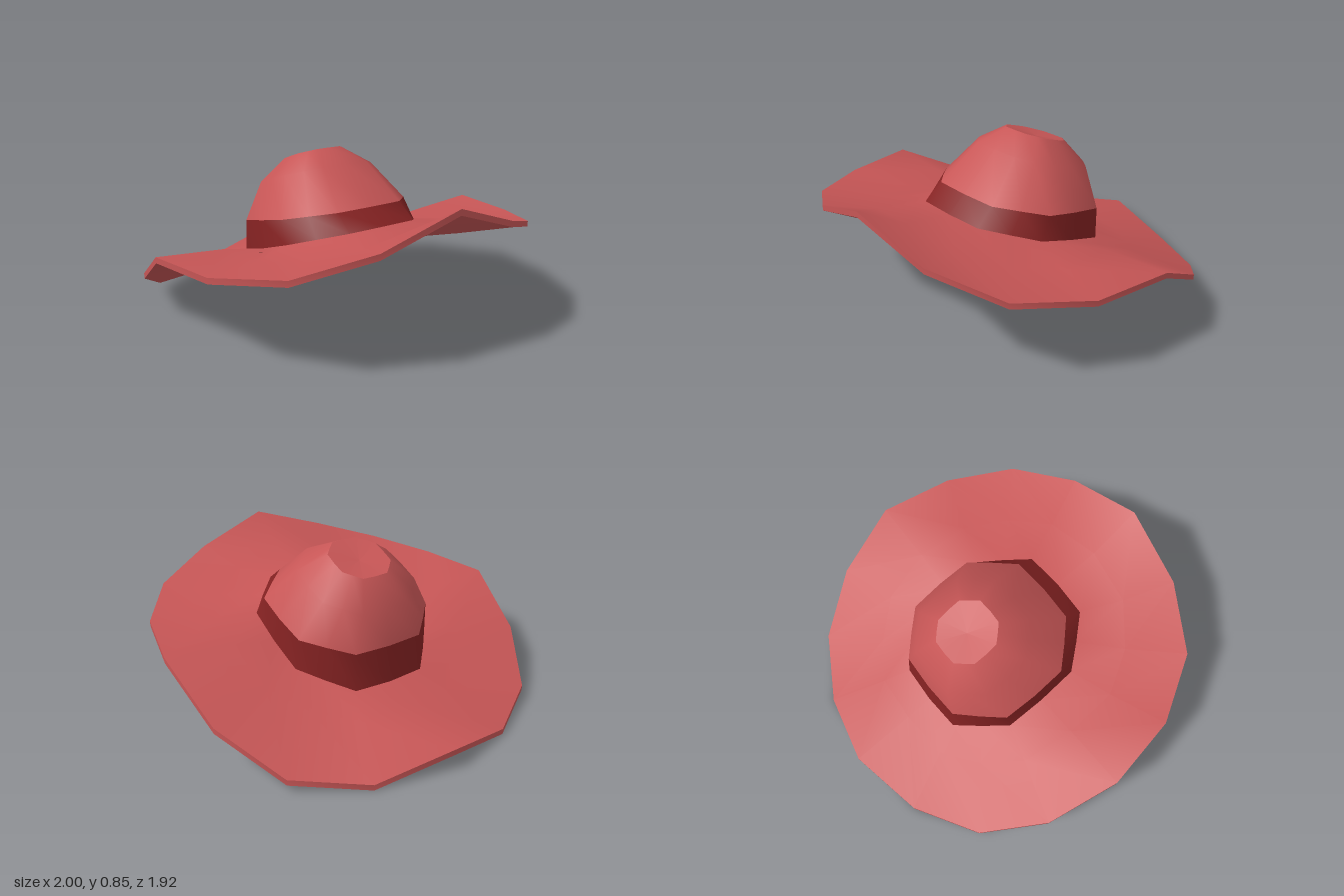
import * as THREE from 'three';

const THICK = 0.03;

// Mirror a half ring (front to back along +x) into a full 16-point ring
function fullRing(half) {
  const ring = half.map(p => new THREE.Vector3(...p));
  for (let i = half.length - 2; i > 0; i--) {
    const [x, y, z] = half[i];
    ring.push(new THREE.Vector3(-x, y, z));
  }
  return ring;
}

// Rounded octagon ring, tilted so that y rises towards the front
const HALF = [[0, 1], [0.48, 0.975], [0.74, 0.72], [0.98, 0.46], [1, 0],
  [0.98, -0.46], [0.74, -0.72], [0.48, -0.975], [0, -1]];
function crownRing(halfWidth, halfDepth, centreZ, centreY, rise) {
  return fullRing(HALF.map(([u, v]) =>
    [u * halfWidth, centreY + v * rise, centreZ + v * halfDepth]));
}

const lowered = (ring, d) => ring.map(p => new THREE.Vector3(p.x, p.y - d, p.z));
const inset = ring => ring.map(p => new THREE.Vector3(p.x * 0.98, p.y - 0.008, p.z * 0.98));

// Skin a list of rings
function loft(name, rings, material) {
  const n = rings[0].length;
  const index = [];
  for (let i = 0; i < rings.length - 1; i++) {
    for (let j = 0; j < n; j++) {
      const k = (j + 1) % n;
      const a = i * n + j, b = i * n + k, c = a + n, d = b + n;
      index.push(a, b, c, b, d, c);
    }
  }
  const geometry = new THREE.BufferGeometry().setFromPoints(rings.flat());
  geometry.setIndex(index);
  geometry.computeVertexNormals();
  const mesh = new THREE.Mesh(geometry, material);
  mesh.name = name;
  return mesh;
}

export function createModel() {
  const red = new THREE.MeshStandardMaterial({ color: 0xc75656 });
  red.name = 'soft red';
  const darkRed = new THREE.MeshStandardMaterial({ color: 0x842222 });
  darkRed.name = 'dark red';

  // Wavy brim edge: high at the front, drooping at the back
  const outerHalf = [[0, 0.74, 0.96], [0.4, 0.605, 0.91], [0.73, 0.505, 0.73],
    [0.93, 0.458, 0.4], [1, 0.45, 0], [0.93, 0.24, -0.37], [0.73, 0.07, -0.68],
    [0.395, 0.03, -0.88], [0, 0.112, -0.96]];
  const outer = fullRing(outerHalf);
  const inner = crownRing(0.42, 0.45, -0.005, 0.378, 0.155);

  // Middle of the brim, lying closer to the crown towards the back
  const midY = [0.58, 0.53, 0.47, 0.43, 0.42, 0.29, 0.195, 0.155, 0.18];
  const mid = fullRing(midY.map((y, i) => {
    const t = 0.5 - 0.025 * i;
    return [THREE.MathUtils.lerp(inner[i].x, outer[i].x, t), y,
      THREE.MathUtils.lerp(inner[i].z, outer[i].z, t)];
  }));

  // Crown rings from the band up to the top rim
  const bandTop = crownRing(0.405, 0.39, -0.048, 0.515, 0.095);
  const shoulder = crownRing(0.285, 0.27, -0.14, 0.7, 0.09);
  const topRim = crownRing(0.15, 0.145, -0.165, 0.802, 0.052);
  const dent = crownRing(0.0, 0.0, -0.165, 0.785, 0);

  const hat = new THREE.Group();
  hat.name = 'sunHat';
  hat.add(
    loft('brimTop', [outer, mid, inner], red),
    loft('brimEdge', [lowered(outer, THICK), outer], red),
    loft('brimUnderside', [inner, mid, outer].map(r => lowered(r, THICK)), red),
    loft('hatBand', [inner, bandTop], darkRed),
    loft('crown', [bandTop, shoulder, topRim], red),
    loft('crownDent', [topRim, dent], red),
    loft('lining', [inset(dent), inset(topRim), inset(shoulder), inset(bandTop),
      lowered(inner, THICK)], red),
  );
  return hat;
}
